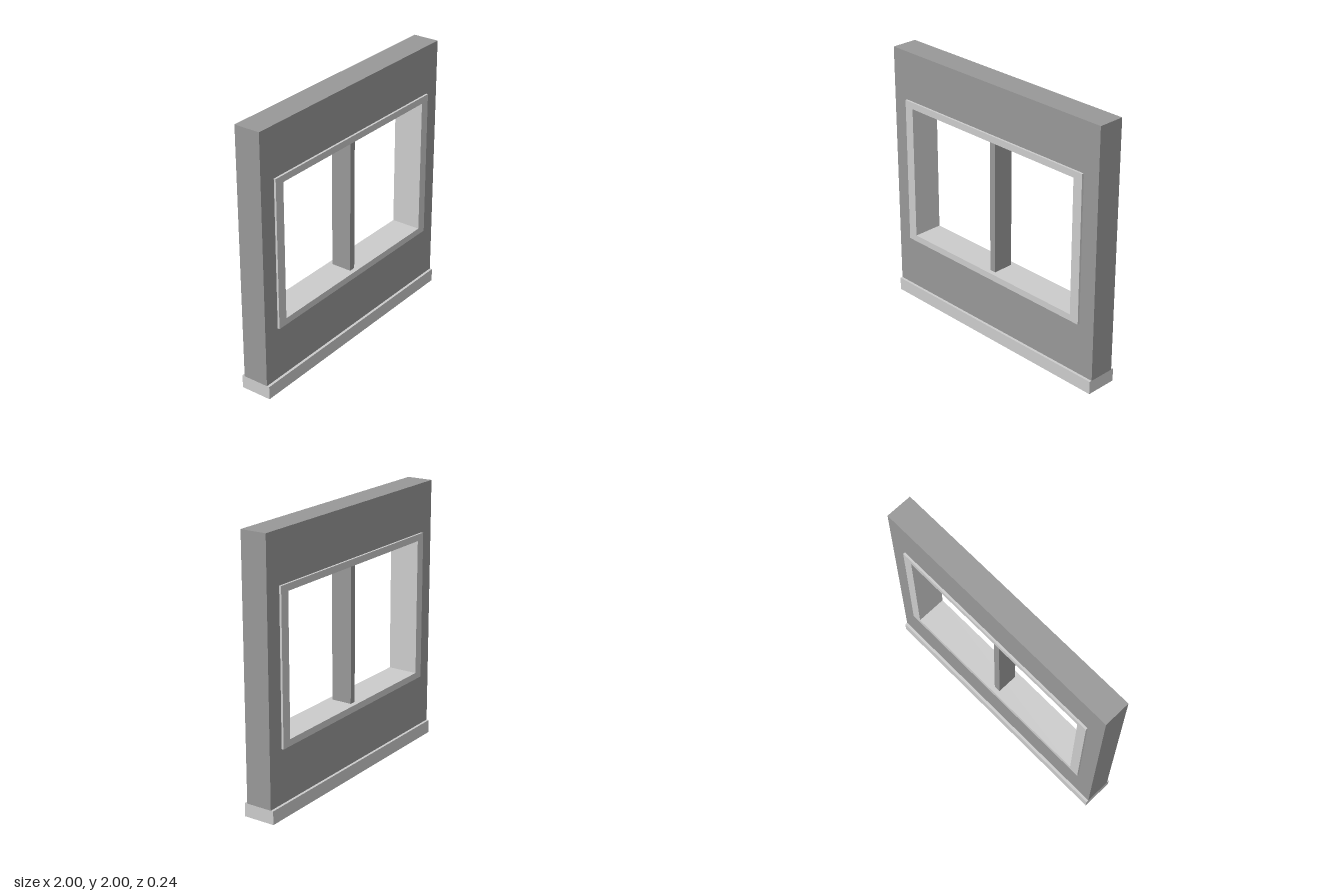
import * as THREE from 'three';

const wallMat = new THREE.MeshStandardMaterial({ color: 0x989898 });
const trimMat = new THREE.MeshStandardMaterial({ color: 0xcccccc });

// Rectangular outline, counter-clockwise
function rect(target, halfW, y0, y1) {
  target.moveTo(-halfW, y0);
  target.lineTo(halfW, y0);
  target.lineTo(halfW, y1);
  target.lineTo(-halfW, y1);
  target.closePath();
  return target;
}

// Upright slab with a rectangular opening, centred on z = 0
function openSlab(name, outer, inner, depth, material) {
  const shape = rect(new THREE.Shape(), ...outer);
  shape.holes.push(rect(new THREE.Path(), ...inner));
  const geometry = new THREE.ExtrudeGeometry(shape, { depth, bevelEnabled: false });
  geometry.translate(0, 0, -depth / 2);
  const mesh = new THREE.Mesh(geometry, material);
  mesh.name = name;
  return mesh;
}

// Box standing on height y, centred on x and z
function block(name, w, h, d, y, material) {
  const mesh = new THREE.Mesh(new THREE.BoxGeometry(w, h, d), material);
  mesh.position.y = y + h / 2;
  mesh.name = name;
  return mesh;
}

export function createModel() {
  const model = new THREE.Group();
  model.name = 'windowWall';

  // [half width, bottom, top] of each outline
  const frameOuter = [0.87, 0.5, 1.63];
  const frameInner = [0.795, 0.55, 1.58];

  model.add(
    // Wall panel, cut out to take the frame
    openSlab('wall', [1, 0.1, 2], frameOuter, 0.2, wallMat),
    // Window frame, standing slightly proud on both faces
    openSlab('windowFrame', frameOuter, frameInner, 0.232, trimMat),
    // Centre mullion
    block('mullion', 0.05, 1.03, 0.16, 0.55, wallMat),
    // Skirting along the foot of the wall
    block('baseboard', 2, 0.1, 0.24, 0, trimMat)
  );
  return model;
}
